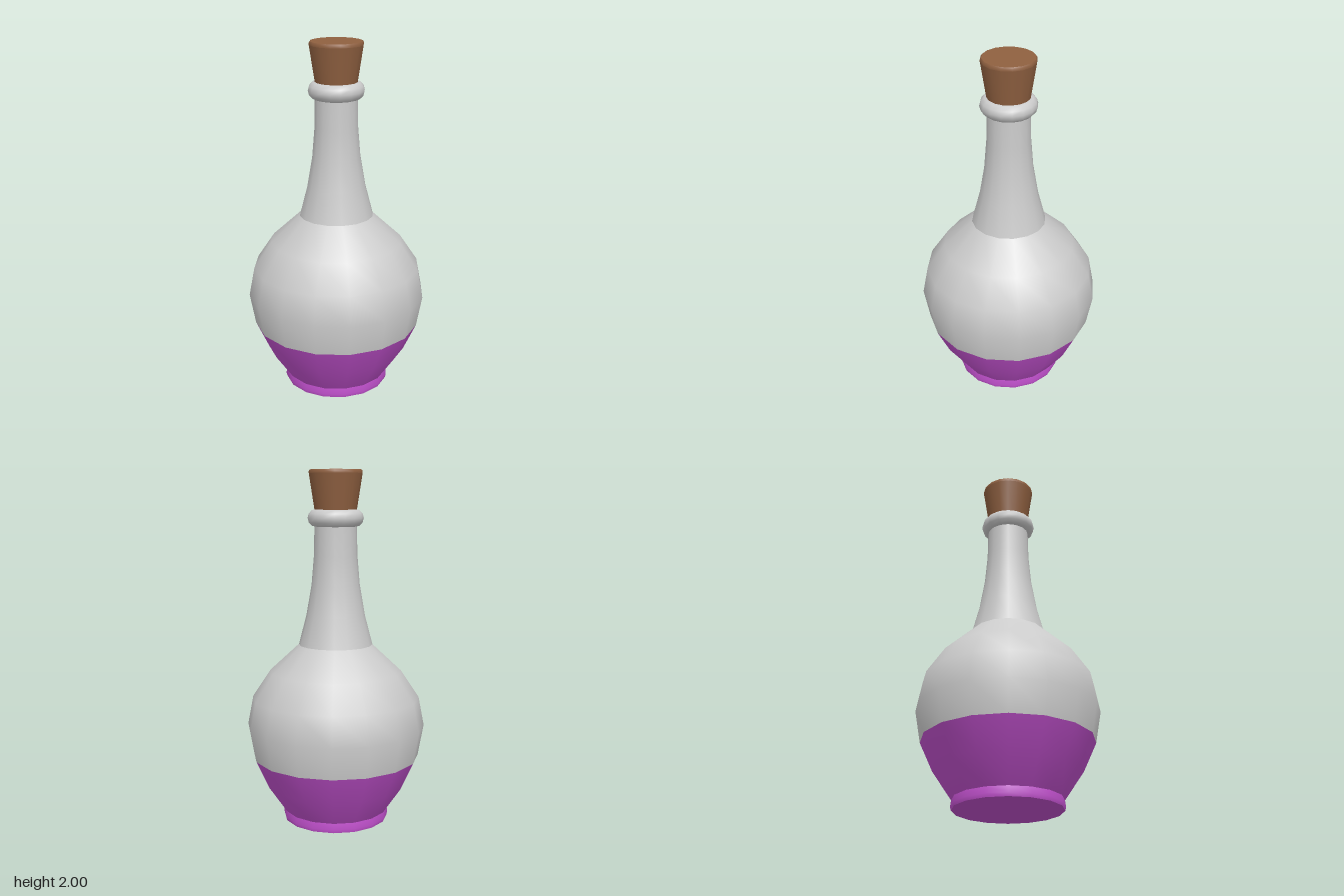
import * as THREE from 'three';

const SIDES = 16;

export function createModel() {
  const model = new THREE.Group();
  model.name = 'corkedBottle';

  const glass = new THREE.MeshStandardMaterial({ color: 0xcccccc, side: THREE.DoubleSide });
  const liquid = new THREE.MeshStandardMaterial({ color: 0xc050cc, side: THREE.DoubleSide });
  const cork = new THREE.MeshStandardMaterial({ color: 0x8f6040 });

  const add = (name, geometry, material, y = 0) => {
    const mesh = new THREE.Mesh(geometry, material);
    mesh.name = name;
    mesh.position.y = y;
    model.add(mesh);
    return mesh;
  };
  // Surface of revolution from [radius, height] pairs, bottom to top
  const turned = (points) =>
    new THREE.LatheGeometry(points.map(([r, y]) => new THREE.Vector2(r, y)), SIDES);
  // Horizontal disc whose corners line up with the turned parts
  const disc = (radius, facing) => new THREE.CircleGeometry(radius, SIDES).rotateX(-facing * Math.PI / 2);

  // Foot and the filled lower part of the bowl
  add('base', disc(0.3, -1), liquid);
  add('foot', turned([[0.3, 0], [0.305, 0.02], [0.3, 0.055]]), liquid);
  add('filledBowl', turned([[0.3, 0.055], [0.405, 0.21], [0.478, 0.37]]), liquid);

  // Clear upper bowl
  add('upperBowl', turned([
    [0.478, 0.37], [0.51, 0.55], [0.478, 0.715], [0.375, 0.87], [0.21, 1.022],
  ]), glass);

  // Flared neck and rounded lip
  add('neck', turned([
    [0.21, 1.022], [0.166, 1.19], [0.136, 1.365], [0.122, 1.53], [0.118, 1.74],
  ]), glass);
  add('lip', new THREE.TorusGeometry(0.107, 0.05, 12, SIDES).rotateX(Math.PI / 2), glass, 1.735);

  // Tapered stopper with a slightly softened rim
  add('stopperSide', turned([[0.112, 1.74], [0.149, 1.98]]), cork);
  add('stopperRim', turned([[0.149, 1.98], [0.149, 1.992], [0.143, 2]]), cork);
  add('stopperTop', disc(0.143, 1), cork, 2);
  add('stopperBottom', disc(0.112, -1), cork, 1.74);

  return model;
}
